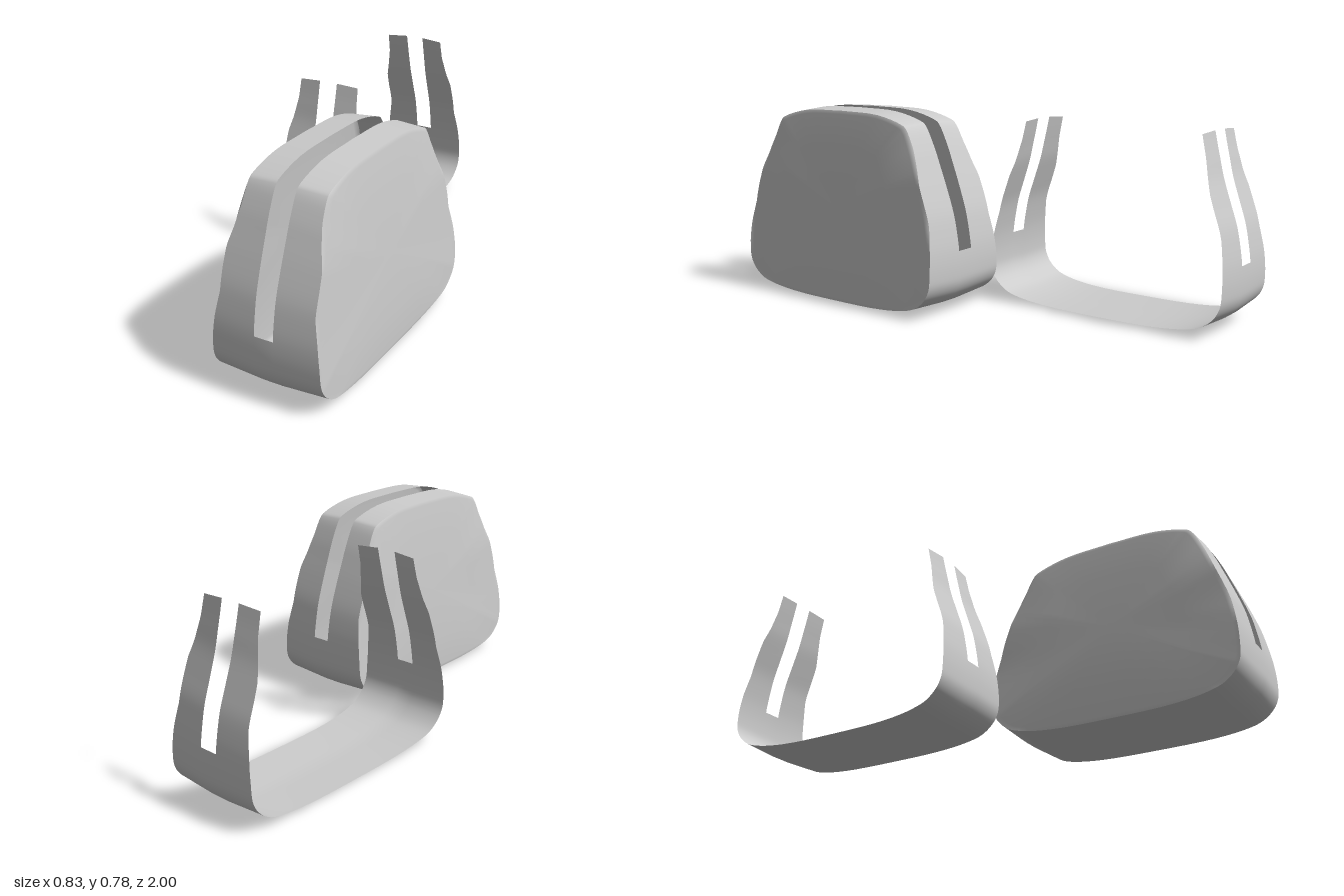
import * as THREE from 'three';

const grey = new THREE.MeshStandardMaterial({ color: 0xcccccc, side: THREE.DoubleSide });
grey.name = 'plain grey';

const SUB = 4;        // rows per profile segment
const SLOT_Y = 0.255; // height where the slot begins
const MID_Y = 0.39;

// Half profiles as [distance from middle, height], from the bottom centre upwards
const lower = [[0, 0.004], [0.25, 0.009], [0.38, 0.026], [0.44, 0.046], [0.485, 0.084], [0.506, 0.125],
  [0.511, 0.175], [0.508, SLOT_Y], [0.497, 0.33], [0.482, 0.4]];
const shellHalf = [...lower, [0.452, 0.49], [0.42, 0.575], [0.388, 0.655], [0.346, 0.732], [0.322, 0.746],
  [0.2, 0.776], [0, 0.783]];
const strapHalf = [...lower, [0.455, 0.48], [0.425, 0.57], [0.408, 0.64], [0.396, 0.69], [0.385, 0.74]];

// Half width of the band against height, with its wavy edge
const widths = [[0, 0.19], [0.03, 0.197], [0.1, 0.198], [0.2, 0.194], [0.28, 0.185], [0.37, 0.169], [0.45, 0.17],
  [0.52, 0.168], [0.58, 0.152], [0.66, 0.137], [0.73, 0.134], [0.79, 0.133]];
function lookUp(table, y) {
  for (let i = 1; i < table.length; i++) {
    const [a, u] = table[i - 1], [b, v] = table[i];
    if (y <= b) return THREE.MathUtils.lerp(u, v, Math.max(0, (y - a) / (b - a)));
  }
  return table[table.length - 1][1];
}

// Mirror a half profile and smooth it; runs from the back end, under the bottom, to the front end
function fullProfile(half) {
  const back = half.slice(1).reverse().map(([d, y]) => new THREE.Vector3(0, y, -d));
  const front = half.map(([d, y]) => new THREE.Vector3(0, y, d));
  const curve = new THREE.CatmullRomCurve3([...back, ...front], false, 'centripetal');
  return curve.getPoints((half.length * 2 - 2) * SUB);
}

// Point on the outer edge of the band, pulled slightly inwards
function edgePoint(p, side, extra) {
  return [side * (lookUp(widths, p.y) + extra), MID_Y + (p.y - MID_Y) * 0.982, p.z * 0.985];
}

function makeGeometry(pos, index) {
  const g = new THREE.BufferGeometry();
  g.setAttribute('position', new THREE.Float32BufferAttribute(pos, 3));
  g.setIndex(index);
  g.computeVertexNormals();
  return g;
}

// Band swept along the profile, leaving the middle open above the slot height
function bandGeometry(profile, extra) {
  const pos = [], index = [];
  profile.forEach((p, r) => {
    const slot = 0.037 + 0.003 * THREE.MathUtils.smoothstep(p.y, 0.3, 0.75);
    pos.push(...edgePoint(p, -1, extra));
    for (const x of [-slot, 0, slot]) pos.push(x, p.y, p.z);
    pos.push(...edgePoint(p, 1, extra));
    if (r === 0) return;
    const open = (p.y + profile[r - 1].y) / 2 > SLOT_Y;
    for (let c = 0; c < 4; c++) {
      if (open && (c === 1 || c === 2)) continue;
      const a = (r - 1) * 5 + c, b = a + 5;
      index.push(a, a + 1, b, a + 1, b + 1, b);
    }
  });
  return makeGeometry(pos, index);
}

// Side panel: rings running from the band edge to the centre, leaning in at the top
const lean = [[0, 0.209], [0.12, 0.212], [0.3, 0.197], [0.5, 0.184], [0.78, 0.151]];
function panelGeometry(profile, side, extra) {
  const pos = [], index = [], n = profile.length - 1; // last point repeats the first
  const scales = [1, 0.965, 0.6];
  scales.forEach((s, ring) => {
    for (let i = 0; i < n; i++) {
      const [x, y, z] = edgePoint(profile[i], side, extra);
      const py = MID_Y + (y - MID_Y) * s;
      pos.push(ring ? side * lookUp(lean, py) : x, py, z * s);
    }
  });
  pos.push(side * 0.191, MID_Y, 0);
  const centre = scales.length * n;
  const tri = (a, b, c) => (side > 0 ? index.push(a, c, b) : index.push(a, b, c));
  for (let i = 0; i < n; i++) {
    const j = (i + 1) % n;
    for (let r = 0; r < scales.length - 1; r++) {
      const a = r * n + i, b = r * n + j;
      tri(a, a + n, b);
      tri(b, a + n, b + n);
    }
    tri((scales.length - 1) * n + i, centre, (scales.length - 1) * n + j);
  }
  return makeGeometry(pos, index);
}

function addPart(group, name, geometry) {
  const mesh = new THREE.Mesh(geometry, grey);
  mesh.name = name;
  group.add(mesh);
}

export function createModel() {
  const model = new THREE.Group();
  model.name = 'slottedCaseAndStrap';

  // Hollow case: slotted band with a panel on each side
  const shell = new THREE.Group();
  shell.name = 'case';
  const shellProfile = fullProfile(shellHalf);
  addPart(shell, 'caseBand', bandGeometry(shellProfile, 0.015));
  addPart(shell, 'leftPanel', panelGeometry(shellProfile, 1, 0.015));
  addPart(shell, 'rightPanel', panelGeometry(shellProfile, -1, 0.015));
  shell.position.set(0.2, 0, 0.487);

  // Separate open strap with two prongs at each end
  const strap = new THREE.Group();
  strap.name = 'strap';
  addPart(strap, 'prongedStrap', bandGeometry(fullProfile(strapHalf), 0));
  strap.position.set(-0.217, 0, -0.487);

  model.add(shell, strap);
  return model;
}
